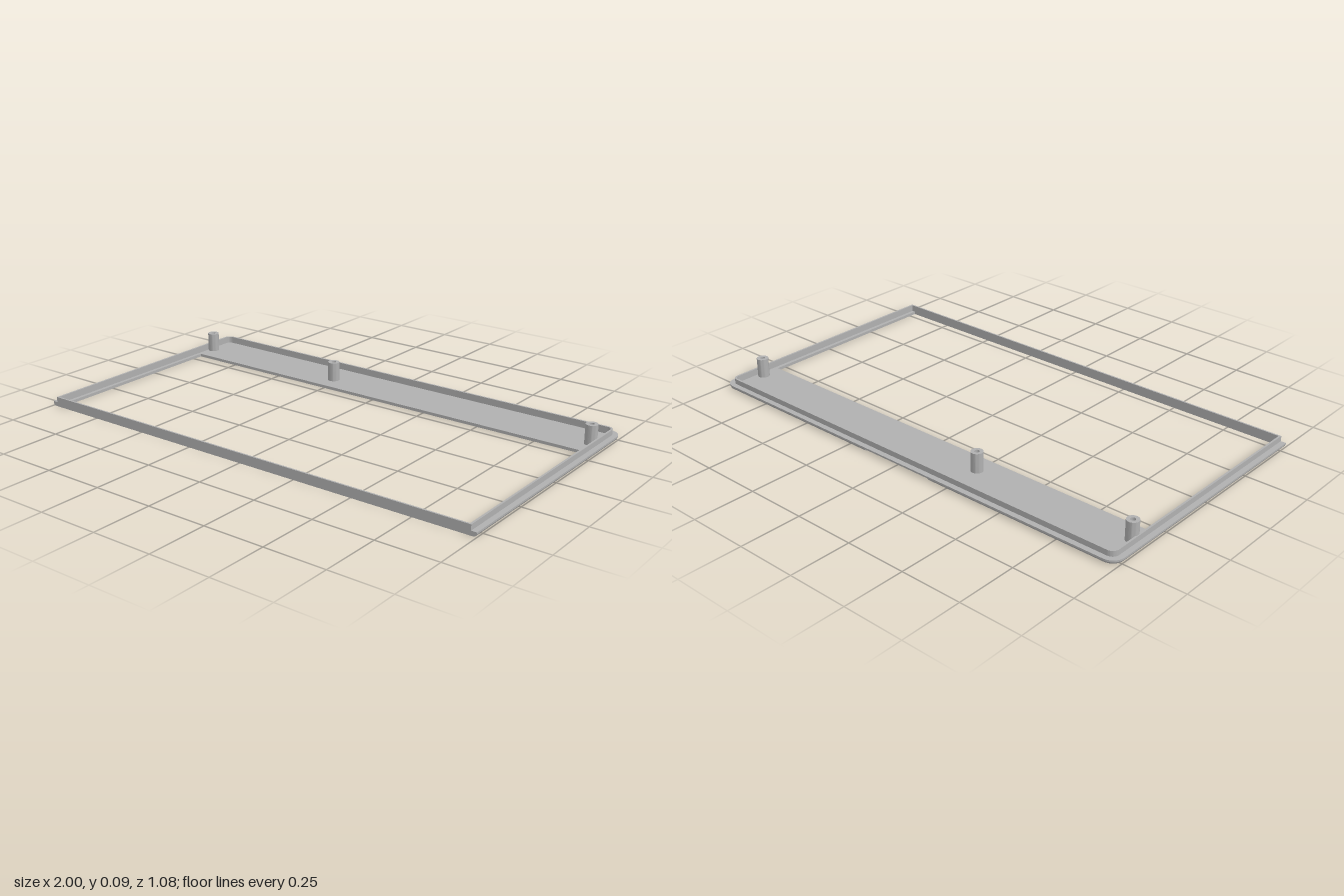
import * as THREE from 'three';
import { toCreasedNormals } from 'three/addons/utils/BufferGeometryUtils.js';

const BACK = -0.538, FRONT = 0.538, R = 0.05;

// Frame cross-section: [inset from the outer edge, height]
const SECTION = [
  [0, 0.018], [0, 0.011], [0.004, 0.004], [0.012, 0], [0.045, 0],
  [0.045, 0.012], [0.03, 0.012], [0.03, 0.04], [0.022, 0.04], [0.022, 0.018],
];
// Same section with the finger notch cut under the back edge
const NOTCHED = SECTION.map((p, i) => (i === 2 ? [0.02, 0.011] : i === 3 ? [0.02, 0] : p));

// U-shaped path around the left side, back and right side
function framePath() {
  const path = [{ x: 1, z: FRONT, nx: -1, nz: 0 }];
  const corner = (side, from, to) => {
    for (let i = 0; i <= 10; i++) {
      const a = from + (to - from) * i / 10;
      const c = Math.cos(a), s = Math.sin(a);
      path.push({ x: side * (1 - R) + R * c, z: BACK + R - R * s, nx: -c, nz: s });
    }
  };
  corner(1, 0, Math.PI / 2);
  for (const [x, notch] of [[0.165, false], [0.163, true], [-0.163, true], [-0.165, false]]) {
    path.push({ x, z: BACK, nx: 0, nz: 1, notch });
  }
  corner(-1, Math.PI / 2, Math.PI);
  path.push({ x: -1, z: FRONT, nx: 1, nz: 0 });
  return path;
}

// Sweep the section along the path and close both ends
function frameGeometry() {
  const path = framePath(), n = SECTION.length;
  const positions = [], index = [];
  for (const p of path) {
    for (const [d, y] of p.notch ? NOTCHED : SECTION) {
      positions.push(p.x + p.nx * d, y, p.z + p.nz * d);
    }
  }
  for (let k = 0; k < path.length - 1; k++) {
    for (let j = 0; j < n; j++) {
      const a = k * n + j, b = k * n + (j + 1) % n;
      index.push(a, b, b + n, a, b + n, a + n);
    }
  }
  const last = (path.length - 1) * n;
  const outline = SECTION.map(([d, y]) => new THREE.Vector2(d, y));
  for (const [a, b, c] of THREE.ShapeUtils.triangulateShape(outline, [])) {
    index.push(a, c, b, last + a, last + b, last + c);
  }
  const geometry = new THREE.BufferGeometry();
  geometry.setAttribute('position', new THREE.Float32BufferAttribute(positions, 3));
  geometry.setIndex(index);
  return toCreasedNormals(geometry, 0.5);
}

// Hollow screw post, open at the top
function postGeometry() {
  const profile = [[0.024, 0.011], [0.024, 0.092], [0.01, 0.092], [0.01, 0.03], [0, 0.03]];
  const lathe = new THREE.LatheGeometry(profile.map(([r, y]) => new THREE.Vector2(r, y)), 32);
  return toCreasedNormals(lathe, 0.5);
}

export function createModel() {
  const model = new THREE.Group();
  model.name = 'bezelFrame';
  const grey = new THREE.MeshStandardMaterial({ color: 0xb0b0b0 });
  grey.name = 'plain grey';

  const add = (name, geometry, x = 0, y = 0, z = 0) => {
    const mesh = new THREE.Mesh(geometry, grey);
    mesh.name = name;
    mesh.position.set(x, y, z);
    model.add(mesh);
  };

  add('sideAndBackRim', frameGeometry());

  // Wide floor panel along the back
  const panelBack = BACK + 0.045, panelFront = -0.295;
  add('backPanel', new THREE.BoxGeometry(1.914, 0.012, panelFront - panelBack),
    0, 0.006, (panelFront + panelBack) / 2);

  // Thin upright wall closing the front
  add('frontWall', new THREE.BoxGeometry(1.956, 0.04, 0.007), 0, 0.02, FRONT - 0.0034);

  // Screw posts
  const post = postGeometry();
  for (const [name, x] of [['rightPost', -0.95], ['middlePost', -0.26], ['leftPost', 0.945]]) {
    add(name, post, x, 0, -0.378);
  }
  return model;
}
